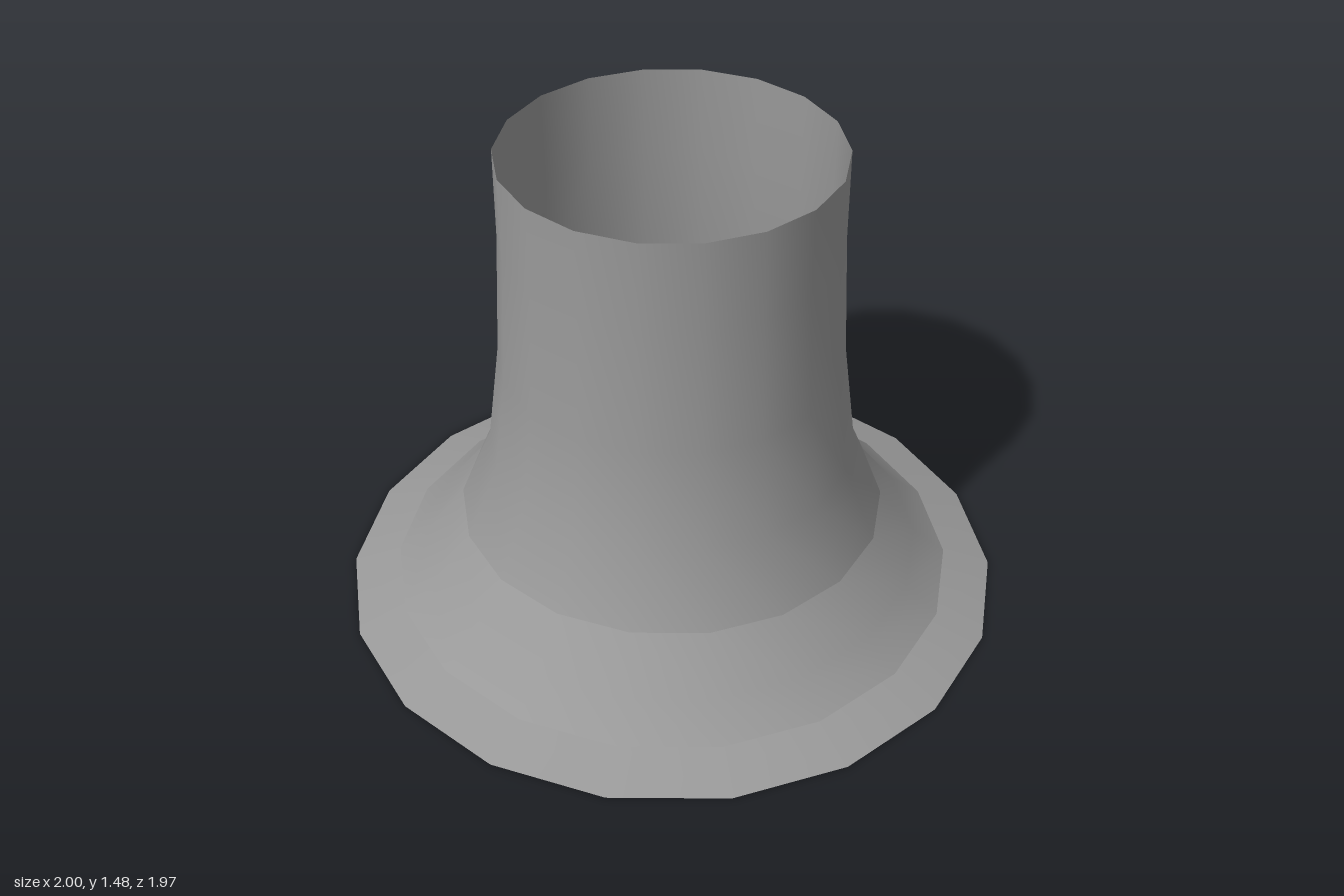
import * as THREE from 'three';

// Open flared tube: 18-sided, smooth within each band, creased between bands
export function createModel() {
  const group = new THREE.Group();
  group.name = 'flaredTube';
  const material = new THREE.MeshStandardMaterial({ color: 0x999999, side: THREE.DoubleSide });

  // Profiles as [radius, height], from the ground up
  const bands = {
    flange: [[1, 0], [0.855, 0.05]],
    flare: [[0.855, 0.05], [0.755, 0.135], [0.642, 0.285]],
    neck: [[0.642, 0.285], [0.547, 0.51], [0.508, 0.82], [0.491, 1.2], [0.491, 1.475]],
  };

  for (const [name, profile] of Object.entries(bands)) {
    const points = profile.map(([r, y]) => new THREE.Vector2(r, y));
    // Start at +x so that corners lie on the x axis
    const mesh = new THREE.Mesh(new THREE.LatheGeometry(points, 18, Math.PI / 2), material);
    mesh.name = name;
    group.add(mesh);
  }
  return group;
}
